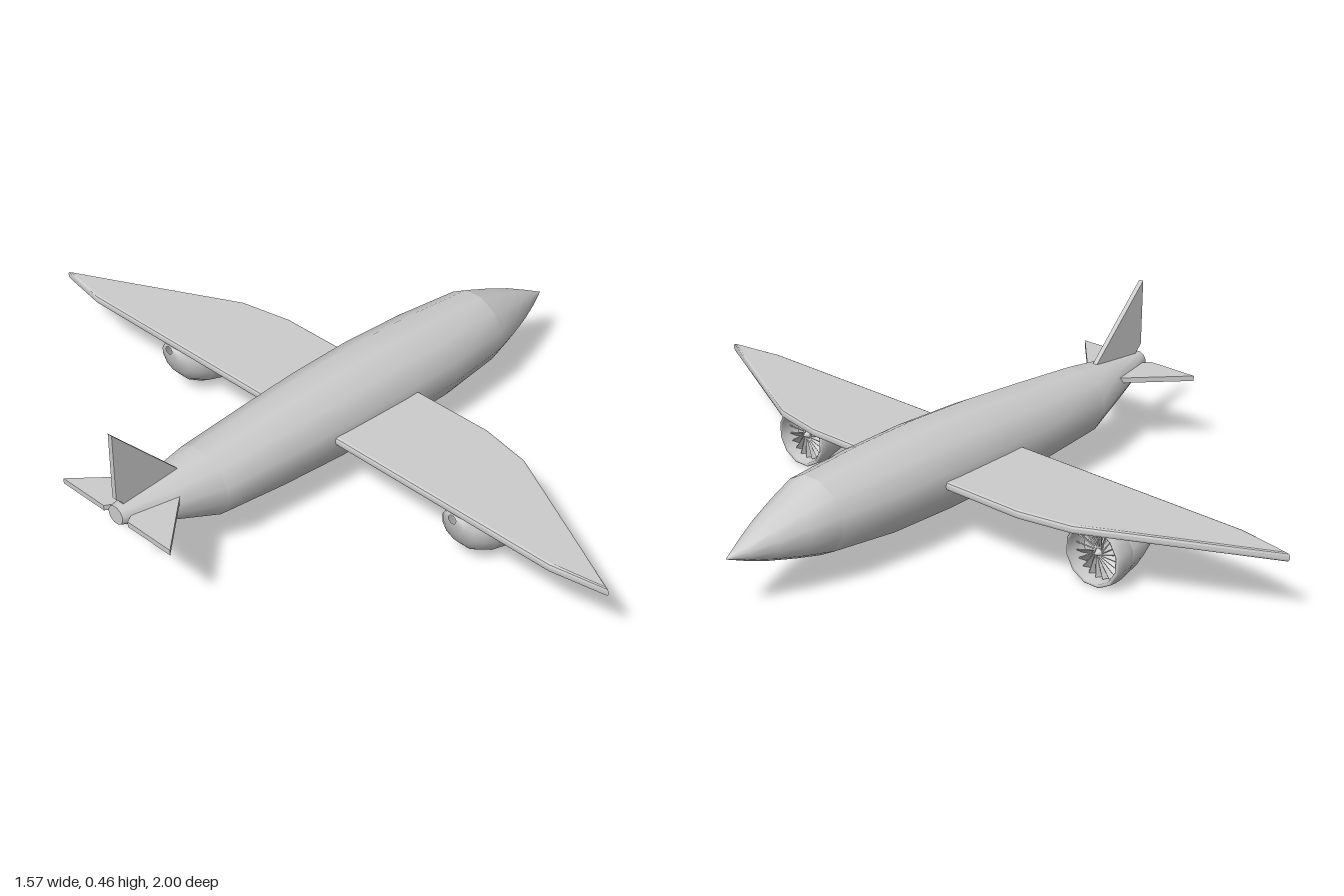
import * as THREE from 'three';

const material = new THREE.MeshStandardMaterial({ color: 0xcccccc, side: THREE.DoubleSide });

function add(parent, name, geometry) {
  const mesh = new THREE.Mesh(geometry, material);
  mesh.name = name;
  parent.add(mesh);
  return mesh;
}

// Smooth skin along x through stations [x, centreY, halfHeight, halfWidth], with flat top facet
function loft(stations, sides = 12) {
  const pos = [], index = [], grow = 1 / Math.cos(Math.PI / sides);
  stations.forEach(([x, y, ry, rz], i) => {
    for (let j = 0; j < sides; j++) {
      const a = ((j + 0.5) / sides) * Math.PI * 2;
      pos.push(x, y + ry * grow * Math.cos(a), rz * grow * Math.sin(a));
      if (i === stations.length - 1) continue;
      const p = i * sides + j, q = i * sides + ((j + 1) % sides);
      index.push(p, q, p + sides, q, q + sides, p + sides);
    }
  });
  const g = new THREE.BufferGeometry();
  g.setAttribute('position', new THREE.Float32BufferAttribute(pos, 3));
  g.setIndex(index);
  g.computeVertexNormals();
  return g;
}

// Flat plate from an outline, centred on its thickness, with a soft edge
function plate(outline, thickness, bevel) {
  const shape = new THREE.Shape(outline.map(([x, y]) => new THREE.Vector2(x, y)));
  const depth = thickness - 2 * bevel;
  return new THREE.ExtrudeGeometry(shape, {
    depth, bevelEnabled: bevel > 0, bevelThickness: bevel, bevelSize: bevel,
    bevelOffset: -bevel, bevelSegments: 2,
  }).translate(0, 0, -depth / 2);
}

// Complete a half outline by mirroring it across its first axis
const mirrored = (half) => [...half, ...half.map(([x, y]) => [x, -y]).reverse()];

function createEngine() {
  const engine = new THREE.Group();
  const cy = 0.087;

  // Intake ring: outer skin, rounded lip and inner duct
  add(engine, 'intakeRing', loft([
    [-0.015, cy, 0.08, 0.08], [0, cy, 0.083, 0.083], [0.025, cy, 0.085, 0.085], [0.045, cy, 0.084, 0.084],
    [0.05, cy, 0.08, 0.08], [0.047, cy, 0.075, 0.075], [-0.01, cy, 0.07, 0.07],
  ]));

  // Pod sweeping up to the wing underside
  add(engine, 'pod', loft([
    [-0.155, 0.157, 0.012, 0.012], [-0.15, 0.142, 0.027, 0.033], [-0.132, 0.122, 0.047, 0.053],
    [-0.105, 0.106, 0.061, 0.066], [-0.065, 0.095, 0.073, 0.076], [-0.02, 0.089, 0.08, 0.08],
    [-0.012, 0.089, 0.079, 0.079],
  ]));

  // Fan: backing disc, twisted blades and spinner
  const disc = add(engine, 'fanDisc', new THREE.CircleGeometry(0.074, 24));
  disc.rotation.y = Math.PI / 2;
  disc.position.set(-0.008, cy, 0);
  const fan = new THREE.Group();
  fan.name = 'fan';
  fan.position.set(0.012, cy, 0);
  for (let i = 0; i < 20; i++) {
    const blade = add(fan, 'fanBlade', new THREE.BoxGeometry(0.024, 0.062, 0.003).rotateY(0.6).translate(0, 0.041, 0));
    blade.rotation.x = (i / 20) * Math.PI * 2;
  }
  add(fan, 'spinner', new THREE.ConeGeometry(0.017, 0.03, 12).rotateZ(-Math.PI / 2).translate(0.012, 0, 0));
  engine.add(fan);
  return engine;
}

export function createModel() {
  const plane = new THREE.Group();
  plane.name = 'airliner';

  // Fuselage in three sections so the joints stay crisp
  const fuselage = new THREE.Group();
  fuselage.name = 'fuselage';
  plane.add(fuselage);
  const tailJoint = [-0.51, 0.183, 0.092, 0.098], noseJoint = [0.5, 0.183, 0.102, 0.106];
  add(fuselage, 'tailCone', loft([[-0.785, 0.225, 0.025, 0.026], [-0.65, 0.203, 0.058, 0.062], tailJoint]));
  add(fuselage, 'cabin', loft([
    tailJoint, [-0.3, 0.181, 0.108, 0.113], [-0.1, 0.182, 0.119, 0.124], [0.1, 0.1825, 0.1225, 0.129],
    [0.3, 0.1805, 0.1185, 0.124], noseJoint,
  ]));
  add(fuselage, 'nose', loft([
    noseJoint, [0.58, 0.178, 0.079, 0.083], [0.66, 0.173, 0.053, 0.056], [0.73, 0.168, 0.025, 0.027],
    [0.785, 0.165, 0.0005, 0.0005],
  ]));
  add(fuselage, 'tailEnd', loft([[-0.785, 0.225, 0.0005, 0.0005], [-0.785, 0.225, 0.025, 0.026]]));

  // Main wing across both sides
  const wing = add(plane, 'wing', plate(mirrored([[0.15, 0.37], [0.12, 0.525], [-0.125, 1], [-0.155, 0.84]]), 0.024, 0.008));
  wing.rotation.x = -Math.PI / 2;
  wing.position.y = 0.182;

  // Tailplane and upright fin
  const tailplane = add(plane, 'tailplane',
    plate(mirrored([[-0.76, 0.03], [-0.785, 0.045], [-0.785, 0.2], [-0.62, 0.05]]), 0.015, 0));
  tailplane.rotation.x = -Math.PI / 2;
  tailplane.position.y = 0.222;
  add(plane, 'fin', plate([[-0.765, 0.24], [-0.765, 0.255], [-0.785, 0.275], [-0.785, 0.465], [-0.588, 0.265], [-0.588, 0.24]], 0.014, 0));

  // Engines under each wing
  for (const side of [1, -1]) {
    const engine = createEngine();
    engine.name = side > 0 ? 'frontEngine' : 'backEngine';
    engine.position.z = 0.53 * side;
    plane.add(engine);
  }
  return plane;
}
